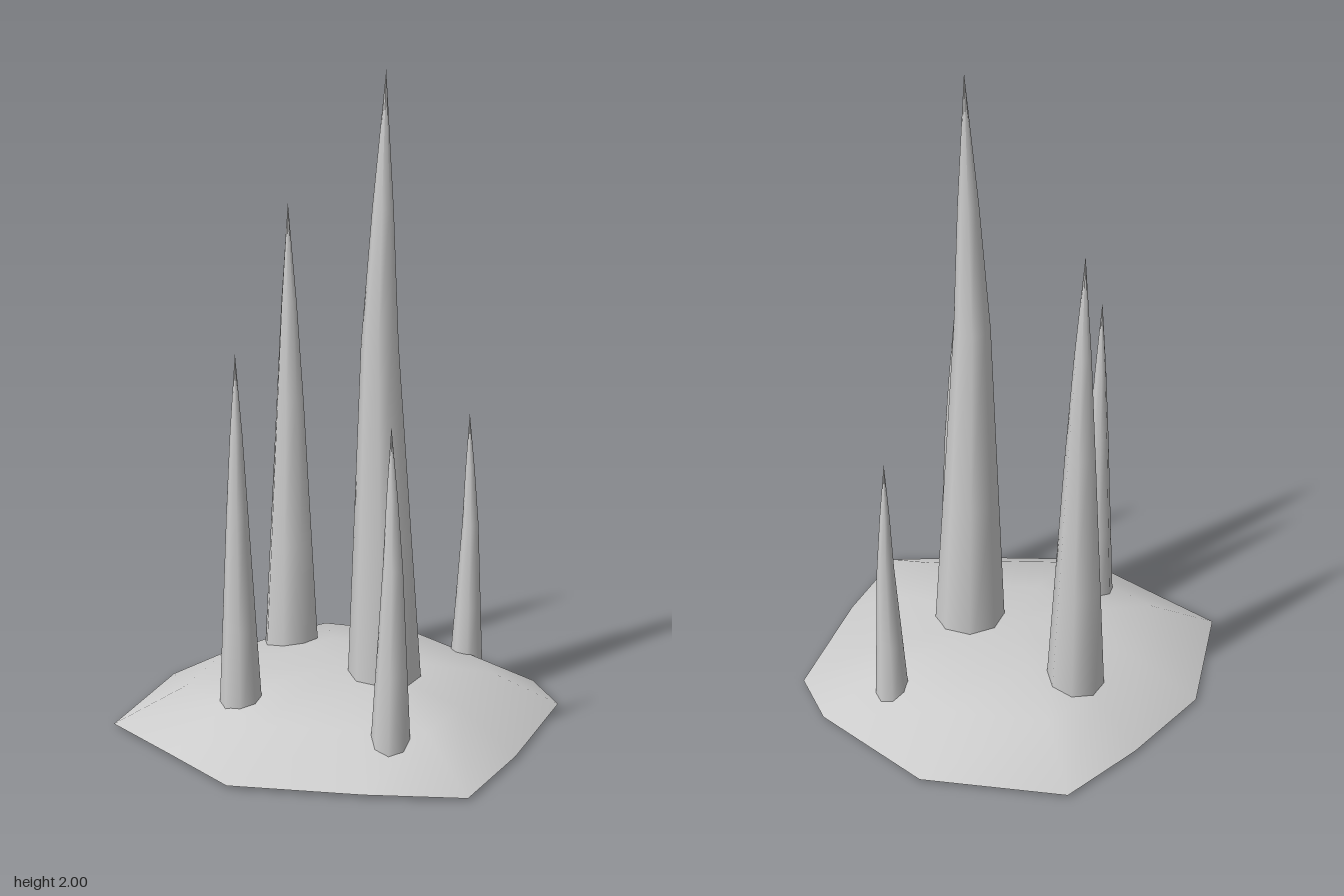
import * as THREE from 'three';
import { mergeVertices } from 'three/addons/utils/BufferGeometryUtils.js';

const material = new THREE.MeshStandardMaterial({ color: 0xcccccc });
const shellMaterial = new THREE.MeshStandardMaterial({ color: 0xcccccc, side: THREE.DoubleSide });

// Irregular ground outline [x, z], clockwise from above
const RIM = [
  [-0.27, -0.63], [0.18, -0.63], [0.54, -0.39], [0.65, -0.22], [0.59, 0.2], [0.51, 0.51],
  [0.22, 0.57], [-0.17, 0.62], [-0.4, 0.47], [-0.65, 0.31], [-0.62, -0.12], [-0.45, -0.4],
];
// Mound rings: [scale of the outline, height]
const RINGS = [[1, 0.01], [0.69, 0.12], [0.35, 0.155]];

// Spike rows from base to tip: share of the height, share of the base radius
const ROW_HEIGHT = [0, 0.3, 0.6, 0.8, 1];
const ROW_RADIUS = [1, 0.73, 0.46, 0.26, 0];

// x, z, radius, height, turn, then sideways shift [x, z] at the bend and at the tip
const SPIKES = [
  { name: 'centreSpike', x: 0.143, z: 0.023, r: 0.122, h: 2, turn: 0.17, bend: [-0.017, 0.022], tip: [-0.005, 0.01] },
  { name: 'backRightSpike', x: -0.24, z: -0.222, r: 0.098, h: 1.58, turn: 0, bend: [0, -0.003], tip: [-0.002, 0] },
  { name: 'frontRightSpike', x: -0.243, z: 0.278, r: 0.07, h: 1.2, turn: 0.3, bend: [0, 0.01], tip: [0, 0.01] },
  { name: 'frontLeftSpike', x: 0.253, z: 0.388, r: 0.063, h: 1.04, turn: 0.15, bend: [0.004, 0], tip: [-0.003, 0] },
  { name: 'backLeftSpike', x: 0.327, z: -0.325, r: 0.057, h: 0.92, turn: 0.25, bend: [0.008, 0.004], tip: [0, 0.004] },
];

// Low open-bottomed shell
function createMound() {
  const n = RIM.length;
  const positions = [];
  const index = [];
  for (const [s, y] of RINGS) for (const [x, z] of RIM) positions.push(x * s, y, z * s);
  positions.push(0, 0.16, 0);
  const top = RINGS.length * n;
  for (let k = 0; k < RINGS.length; k++) {
    for (let i = 0; i < n; i++) {
      const a = k * n + i;
      const b = k * n + ((i + 1) % n);
      if (k === RINGS.length - 1) index.push(a, top, b);
      else index.push(a, a + n, b, b, a + n, b + n);
    }
  }
  const geometry = new THREE.BufferGeometry();
  geometry.setAttribute('position', new THREE.Float32BufferAttribute(positions, 3));
  geometry.setIndex(index);
  geometry.computeVertexNormals();
  const mesh = new THREE.Mesh(geometry, shellMaterial);
  mesh.name = 'mound';
  return mesh;
}

// Eight-sided cone, swelled and bent row by row
function createSpike({ name, x, z, r, h, turn, bend, tip }) {
  let geometry = new THREE.CylinderGeometry(0, 1, 1, 8, 4, false, turn);
  geometry.deleteAttribute('uv');
  geometry = mergeVertices(geometry, 1e-3);
  const p = geometry.attributes.position;
  for (let i = 0; i < p.count; i++) {
    const t = p.getY(i) + 0.5;
    const row = Math.round(t * 4);
    const height = ROW_HEIGHT[row];
    const scale = row === 4 ? 0 : (r * ROW_RADIUS[row]) / (1 - t);
    const shift = [0, 1].map((j) => (height <= 0.6
      ? (bend[j] * height) / 0.6
      : THREE.MathUtils.lerp(bend[j], tip[j], (height - 0.6) / 0.4)));
    p.setXYZ(i, p.getX(i) * scale + shift[0], height * h, p.getZ(i) * scale + shift[1]);
  }
  geometry.computeVertexNormals();
  const mesh = new THREE.Mesh(geometry, material);
  mesh.name = name;
  mesh.position.set(x, 0, z);
  return mesh;
}

export function createModel() {
  const group = new THREE.Group();
  group.name = 'spikeCluster';
  group.add(createMound(), ...SPIKES.map(createSpike));
  return group;
}
